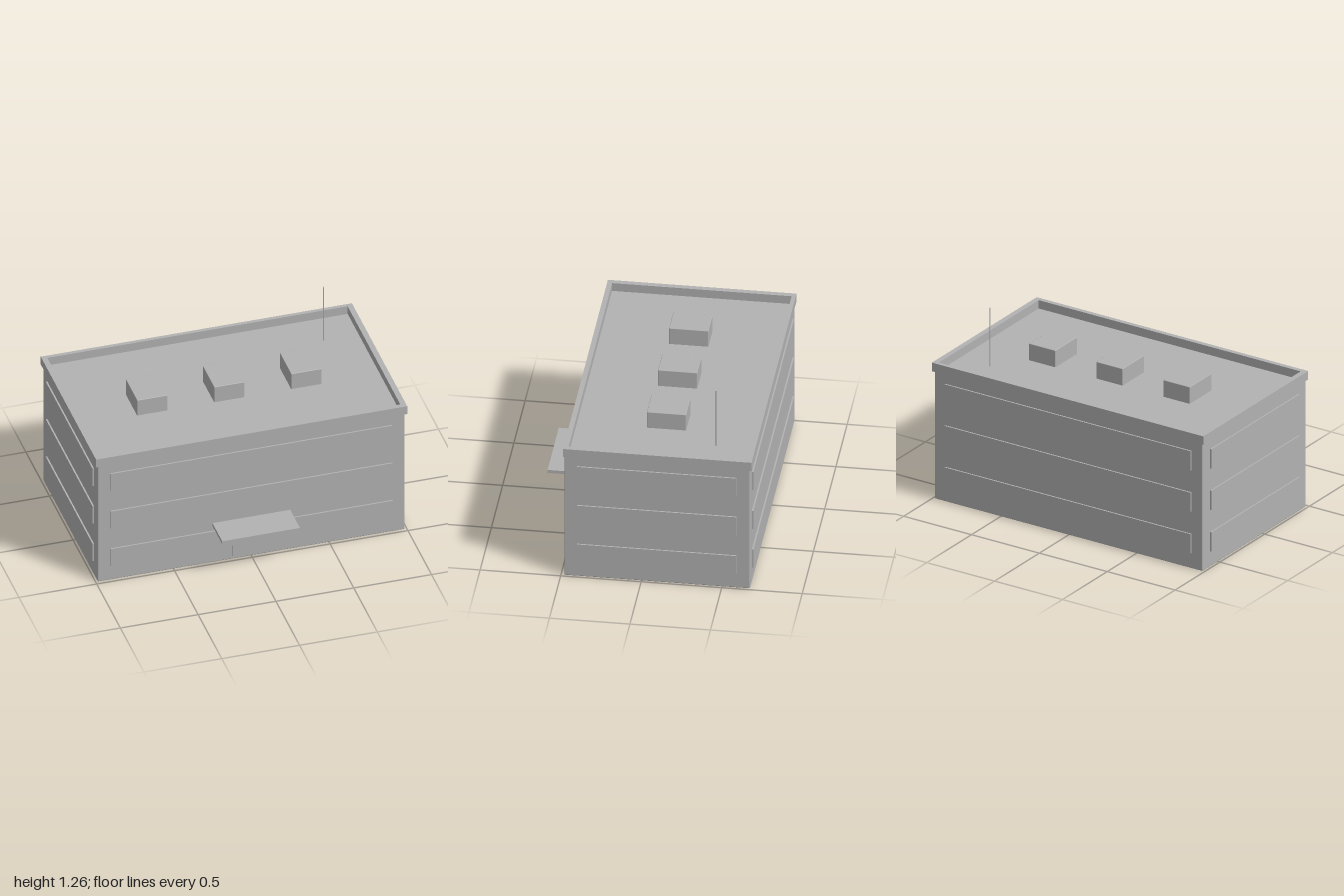
import * as THREE from 'three';
import { RoundedBoxGeometry } from 'three/addons/geometries/RoundedBoxGeometry.js';

export function createModel() {
  const model = new THREE.Group();
  model.name = 'officeBlock';
  const grey = new THREE.MeshStandardMaterial({ color: 0xb2b2b2 });
  grey.name = 'concrete grey';

  const add = (name, geometry, x, y, z) => {
    const mesh = new THREE.Mesh(geometry, grey);
    mesh.name = name;
    mesh.position.set(x, y, z);
    model.add(mesh);
  };
  // Box given by its limits on each axis; a bevel softens its edges
  const box = (name, [x0, x1], [y0, y1], [z0, z1], bevel = 0) => {
    const size = [x1 - x0, y1 - y0, z1 - z0];
    const geometry = bevel
      ? new RoundedBoxGeometry(...size, 2, bevel)
      : new THREE.BoxGeometry(...size);
    add(name, geometry, (x0 + x1) / 2, (y0 + y1) / 2, (z0 + z1) / 2);
  };

  const front = 0.479, back = -0.674, side = 0.987, roof = 0.862;

  // Main block, its top serving as the roof deck
  box('body', [-side, side], [0, roof], [back, front], 0.006);

  // Parapet: a rectangular frame standing on the roof edge
  const rect = (target, x, z0, z1) => target
    .moveTo(-x, -z1).lineTo(x, -z1).lineTo(x, -z0).lineTo(-x, -z0).closePath();
  const frame = rect(new THREE.Shape(), 1, -0.685, 0.486);
  frame.holes.push(rect(new THREE.Path(), 0.965, -0.66, 0.455));
  const parapet = new THREE.ExtrudeGeometry(frame, { depth: 0.058, bevelEnabled: false });
  parapet.rotateX(-Math.PI / 2);
  add('parapet', parapet, 0, 0.86, 0);

  // Window bands around each of the three floors
  for (const y of [0.104, 0.384, 0.664]) {
    const band = [y, y + 0.13];
    box('frontWindowBand', [-0.907, 0.907], band, [front - 0.01, 0.489]);
    box('backWindowBand', [-0.907, 0.907], band, [-0.684, back + 0.01]);
    box('leftWindowBand', [side - 0.01, 0.997], band, [-0.59, 0.4]);
    box('rightWindowBand', [-0.997, 0.01 - side], band, [-0.59, 0.4]);
  }

  // Entrance below the lowest front band, with its canopy
  box('door', [-0.12, 0.12], [0.02, 0.104], [front - 0.01, 0.489]);
  box('canopy', [-0.25, 0.25], [0.27, 0.291], [front - 0.01, 0.686]);

  // Rooftop units and antenna
  for (const x of [-0.497, -0.002, 0.493]) {
    box('rooftopUnit', [x - 0.098, x + 0.098], [roof - 0.01, 0.975], [-0.222, 0.022], 0.004);
  }
  add('antenna', new THREE.CylinderGeometry(0.004, 0.004, 0.395, 12), 0.74, 1.06, -0.43);

  return model;
}
